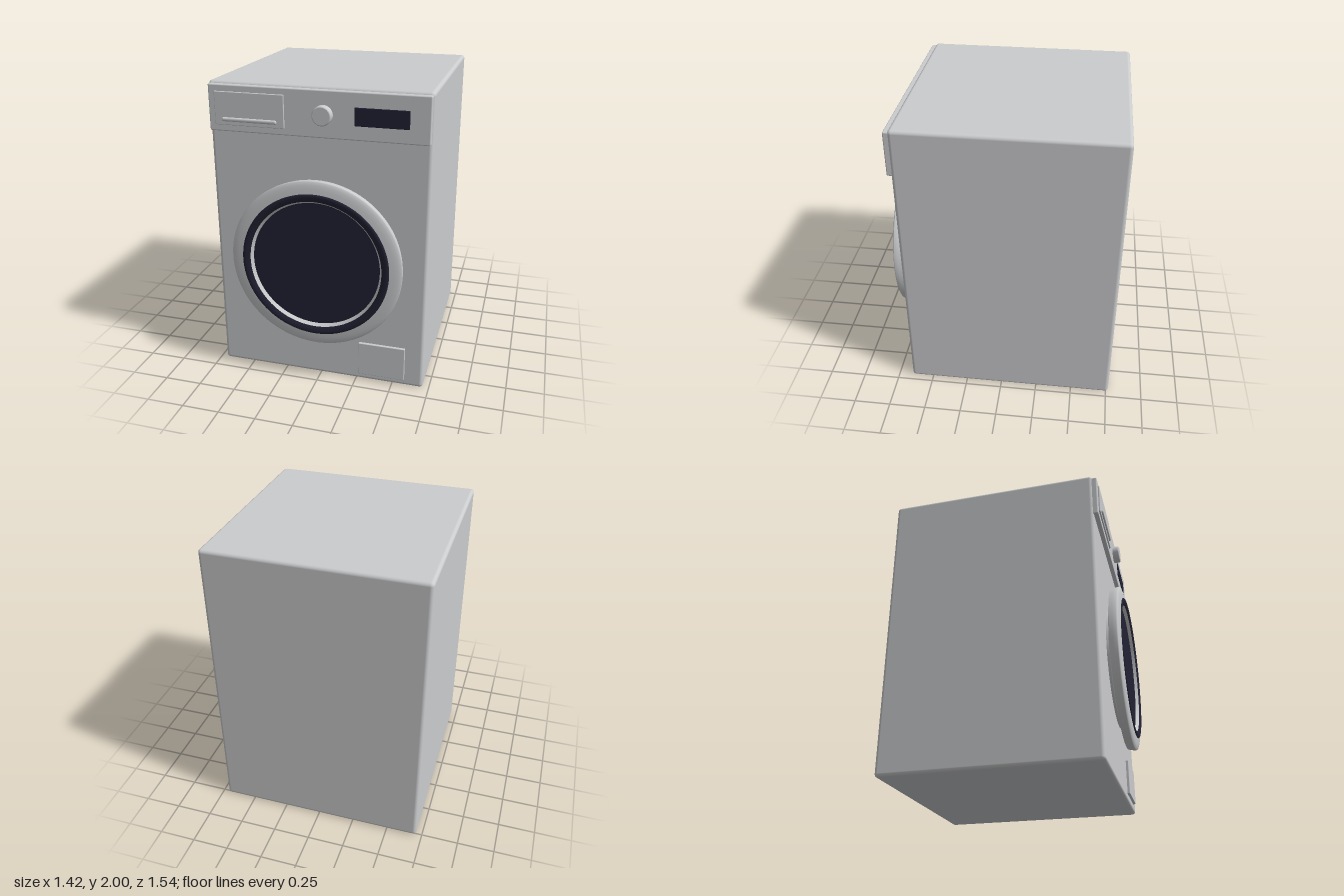
import * as THREE from 'three';
import { RoundedBoxGeometry } from 'three/addons/geometries/RoundedBoxGeometry.js';

export function createModel() {
  const model = new THREE.Group();
  model.name = 'washingMachine';

  const material = (name, color) => {
    const m = new THREE.MeshStandardMaterial({ color });
    m.name = name;
    return m;
  };
  const enamel = material('light grey enamel', 0xcbccce);
  const darkGlass = material('dark glass', 0x222234);

  const add = (parent, name, geometry, mat) => {
    const mesh = new THREE.Mesh(geometry, mat);
    mesh.name = name;
    parent.add(mesh);
    return mesh;
  };

  // Rounded block given by its limits on each axis
  const block = (name, [x0, x1], [y0, y1], [z0, z1], radius, mat = enamel) => {
    const geometry = new RoundedBoxGeometry(x1 - x0, y1 - y0, z1 - z0, 4, radius);
    geometry.translate((x0 + x1) / 2, (y0 + y1) / 2, (z0 + z1) / 2);
    return add(model, name, geometry, mat);
  };

  // Turned part whose axis points to the front; profile is [radius, z]
  const turned = (parent, name, profile, mat, segments = 96) => {
    const points = profile.map(([r, z]) => new THREE.Vector2(r, z));
    const geometry = new THREE.LatheGeometry(points, segments);
    geometry.rotateX(Math.PI / 2);
    return add(parent, name, geometry, mat);
  };

  // Cabinet and control panel
  block('cabinet', [-0.71, 0.71], [0, 2], [-0.767, 0.652], 0.024);
  block('controlPanel', [-0.7, 0.7], [1.69, 1.985], [0.63, 0.682], 0.008);

  // Detergent drawer with its grip
  block('detergentDrawer', [-0.657, -0.202], [1.733, 1.943], [0.67, 0.692], 0.004);
  block('drawerGrip', [-0.61, -0.25], [1.757, 1.783], [0.68, 0.704], 0.0115);

  // Display and service flap
  block('display', [0.24, 0.575], [1.78, 1.893], [0.678, 0.687], 0.004, darkGlass);
  block('serviceFlap', [0.27, 0.585], [0.05, 0.288], [0.64, 0.67], 0.004);

  // Programme knob
  const knob = new THREE.Group();
  knob.name = 'programmeKnob';
  knob.position.set(0.046, 1.836, 0);
  model.add(knob);
  turned(knob, 'knobSide', [[0.061, 0.675], [0.061, 0.722]], enamel, 48);
  turned(knob, 'knobEdge', [[0.061, 0.722], [0.059, 0.727], [0.054, 0.729]], enamel, 48);
  turned(knob, 'knobFace', [[0.054, 0.729], [0, 0.729]], enamel, 48);

  // Round door: flared rim, dark bezel, sloped inner ring and recessed glass
  const door = new THREE.Group();
  door.name = 'door';
  door.position.y = 0.863;
  model.add(door);
  turned(door, 'hingeNeck', [[0.415, 0.645], [0.415, 0.668]], enamel);
  turned(door, 'rimBack', [[0.415, 0.668], [0.46, 0.674], [0.52, 0.683], [0.56, 0.69]], enamel);
  turned(door, 'rimFront', [
    [0.56, 0.69], [0.566, 0.715], [0.569, 0.74], [0.564, 0.747],
    [0.545, 0.753], [0.52, 0.758], [0.488, 0.761],
  ], enamel);
  turned(door, 'bezel', [
    [0.49, 0.752], [0.488, 0.763], [0.481, 0.768], [0.468, 0.768], [0.452, 0.764], [0.438, 0.757],
  ], darkGlass);
  turned(door, 'innerRing', [[0.438, 0.757], [0.423, 0.735]], enamel);
  turned(door, 'glass', [[0.423, 0.735], [0, 0.735]], darkGlass);

  return model;
}
